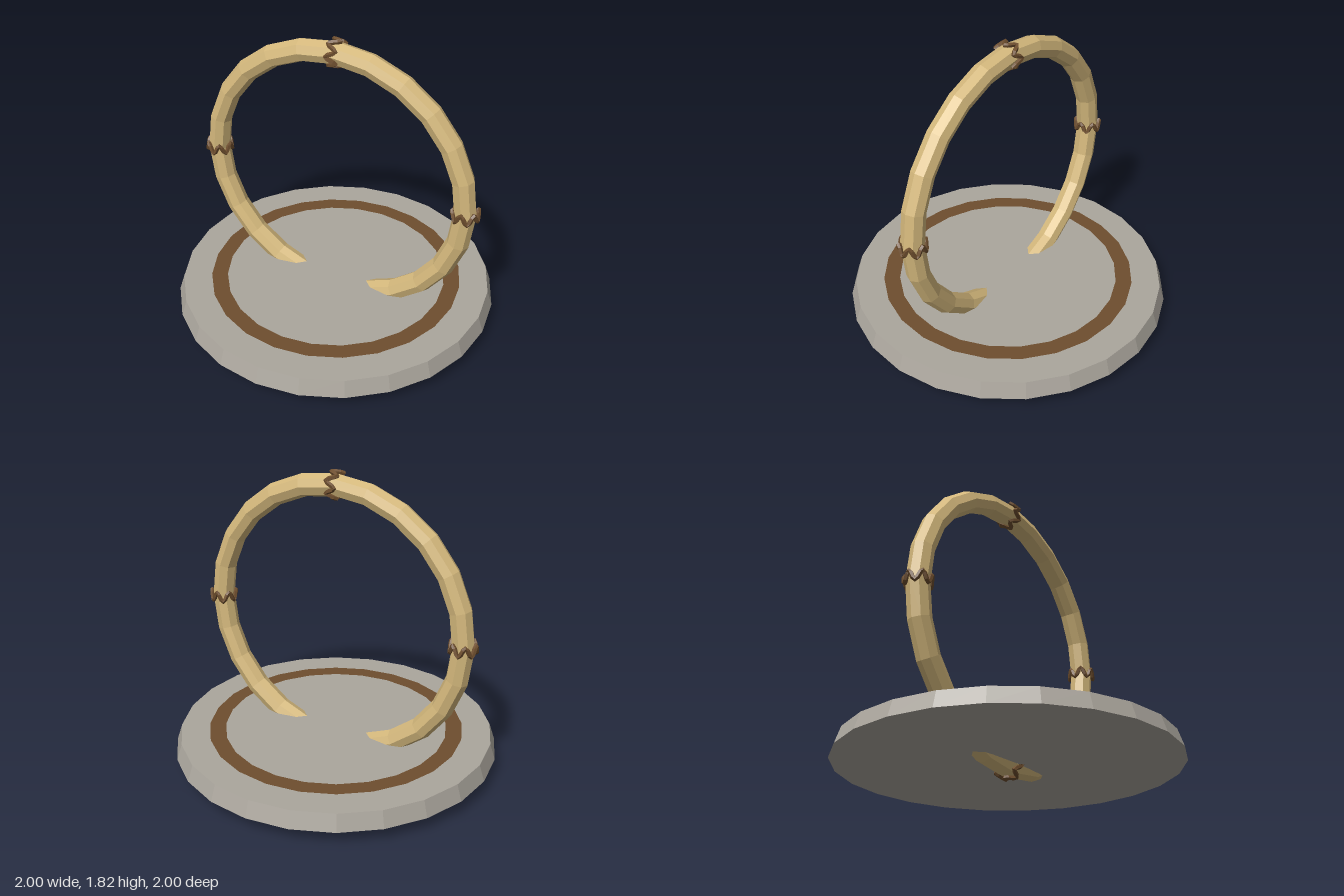
import * as THREE from 'three';

const mat = (name, color) => {
  const m = new THREE.MeshStandardMaterial({ color, flatShading: true });
  m.name = name;
  return m;
};

export function createModel() {
  const group = new THREE.Group();
  const stone = mat('stone grey', 0xaba69d);
  const bamboo = mat('bamboo tan', 0xd4b87c);
  const brown = mat('dark brown', 0x6e4e2e);
  const add = (name, geometry, material, y) => {
    const mesh = new THREE.Mesh(geometry, material);
    mesh.name = name;
    mesh.position.y = y;
    group.add(mesh);
    return mesh;
  };

  const centreY = 0.912, ringRadius = 0.823, poleRadius = 0.068;

  // Stone disc the hoop passes through
  add('base', new THREE.CylinderGeometry(0.967, 1, 0.1, 24), stone, 0.14);

  // Flat painted band on the disc
  const band = new THREE.RingGeometry(0.69, 0.79, 24).rotateX(-Math.PI / 2);
  add('baseBand', band, brown, 0.195);

  // Upright hoop
  add('hoop', new THREE.TorusGeometry(ringRadius, poleRadius, 8, 24), bamboo, centreY);

  // Zigzag lashing wrapped around the pole
  const points = [];
  for (let i = 0; i < 12; i++) {
    const a = (i / 12) * Math.PI * 2;
    points.push(new THREE.Vector3(
      ringRadius + Math.cos(a) * 0.074,
      i % 2 ? 0.03 : -0.03,
      Math.sin(a) * 0.074
    ));
  }
  const path = new THREE.CatmullRomCurve3(points, true);
  const lashing = new THREE.TubeGeometry(path, 48, 0.014, 5, true);
  for (let i = 0; i < 4; i++) {
    add('lashing' + (i + 1), lashing, brown, centreY).rotation.z = (i * Math.PI) / 2;
  }
  return group;
}
